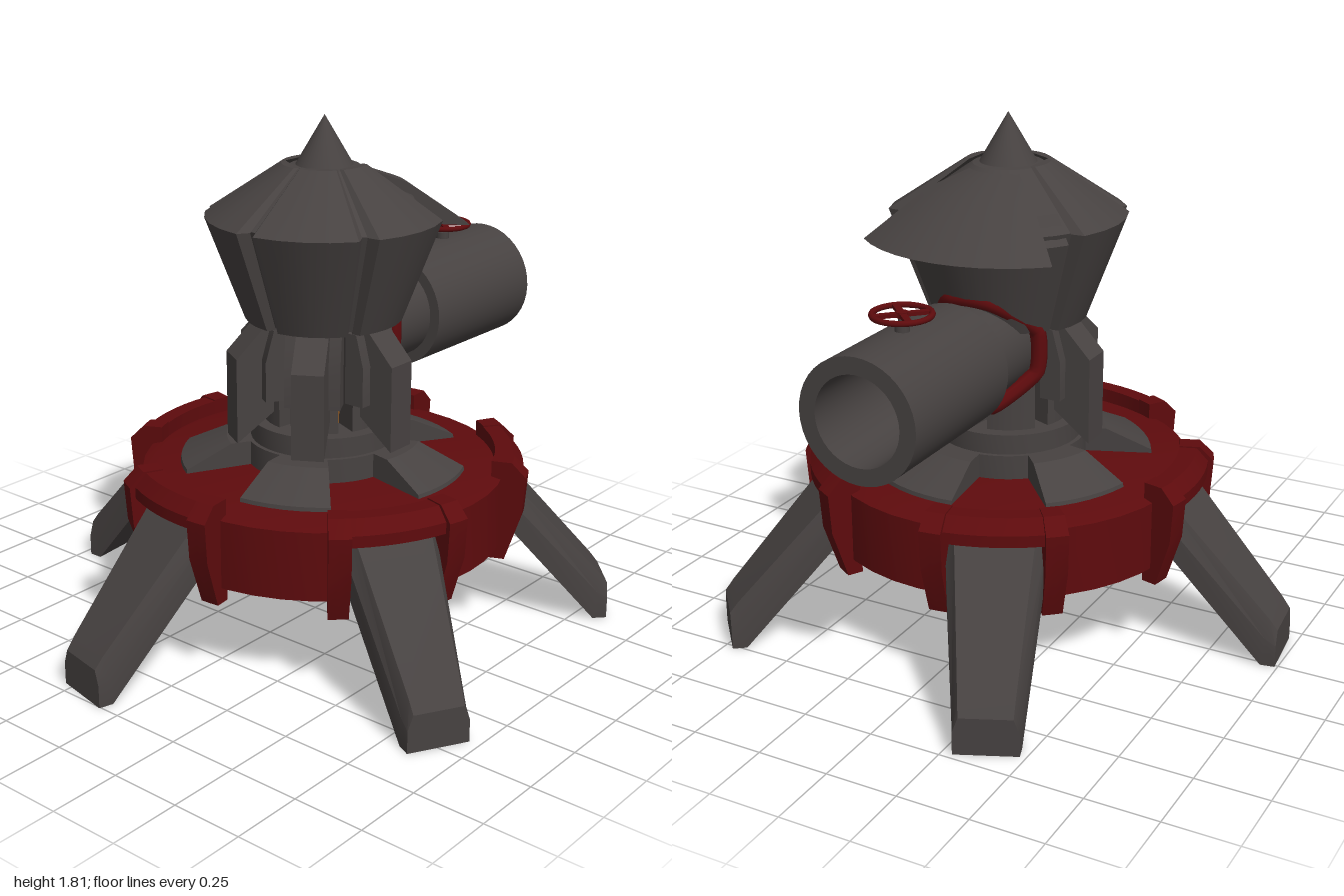
import * as THREE from 'three';
import { toCreasedNormals, mergeGeometries } from 'three/addons/utils/BufferGeometryUtils.js';

const mat = (name, color) => {
  const m = new THREE.MeshStandardMaterial({ color });
  m.name = name;
  return m;
};
const rad = THREE.MathUtils.degToRad;

// Polar point: angle in degrees from +z towards +x
const polar = (r, y, deg) => [r * Math.sin(rad(deg)), y, r * Math.cos(rad(deg))];

// Solid through a list of matching closed cross-sections, capped at both ends
function loft(rings, crease = 25) {
  const tris = [];
  const n = rings[0].length;
  for (let i = 0; i < rings.length - 1; i++) {
    for (let j = 0; j < n; j++) {
      const k = (j + 1) % n;
      const a = rings[i][j], b = rings[i][k], c = rings[i + 1][k], d = rings[i + 1][j];
      tris.push([a, b, c], [a, c, d]);
    }
  }
  const cap = (ring, flip) => {
    const flat = new THREE.Vector3();
    const v = ring.map((p) => new THREE.Vector3(...p));
    v.forEach((p, i) => flat.add(p.clone().cross(v[(i + 1) % n])));
    const normal = flat.normalize();
    const ux = new THREE.Vector3().subVectors(v[1], v[0]).normalize();
    const uy = new THREE.Vector3().crossVectors(normal, ux);
    const flat2 = v.map((p) => new THREE.Vector2(p.dot(ux), p.dot(uy)));
    THREE.ShapeUtils.triangulateShape(flat2, []).forEach(([a, b, c]) =>
      tris.push(flip ? [ring[c], ring[b], ring[a]] : [ring[a], ring[b], ring[c]]));
  };
  cap(rings[0], true);
  cap(rings[rings.length - 1], false);
  // Turn the faces outward
  const A = new THREE.Vector3(), B = new THREE.Vector3(), C = new THREE.Vector3();
  let volume = 0;
  for (const [a, b, c] of tris) volume += A.set(...a).dot(B.set(...b).cross(C.set(...c)));
  if (volume < 0) tris.forEach((t) => t.reverse());
  const g = new THREE.BufferGeometry();
  g.setAttribute('position', new THREE.Float32BufferAttribute(tris.flat(2), 3));
  return toCreasedNormals(g, rad(crease));
}

// Part of a ring: closed [radius, y] profile swept between two angles
function sector(profile, from, to, steps = 6) {
  const rings = [];
  for (let i = 0; i <= steps; i++) {
    rings.push(profile.map(([r, y]) => polar(r, y, from + ((to - from) * i) / steps)));
  }
  return loft(rings);
}

const lathe = (points, segments = 40) =>
  toCreasedNormals(new THREE.LatheGeometry(points.map((p) => new THREE.Vector2(...p)), segments), rad(25));

export function createModel() {
  const grey = mat('dark grey metal', 0x474241);
  const red = mat('dark red metal', 0x5e0b0d);
  const orange = mat('orange glow', 0xb8640f);

  const model = new THREE.Group();
  const body = new THREE.Group();
  body.name = 'body';
  body.position.set(0.03, 0, -0.01);
  model.add(body);
  const add = (name, geometry, material, parent = body) => {
    const mesh = new THREE.Mesh(geometry, material);
    mesh.name = name;
    parent.add(mesh);
    return mesh;
  };

  // Base disc with a small plate underneath
  add('baseDisc', lathe([[0, 0.345], [0.635, 0.345], [0.635, 0.585], [0.58, 0.6], [0, 0.61]]), red);
  add('undersidePlate', new THREE.BoxGeometry(0.2, 0.01, 0.2), grey).position.y = 0.342;

  // Five legs, each held by a red clamp
  const legRing = (rTop, top, rBot, bottom, w) => {
    const mid = (a, b) => a + (b - a) * 0.6;
    const rm = mid(rBot, rTop), ym = mid(bottom, top);
    return [[-w, bottom, rBot], [w, bottom, rBot], [w, ym, rm],
      [w * 0.82, top, rTop], [-w * 0.82, top, rTop], [-w, ym, rm]];
  };
  const legGeo = loft([
    legRing(0.6, 0.6, 0.6, 0.43, 0.165),
    legRing(0.985, 0.17, 0.965, 0, 0.11),
    legRing(1.015, 0.13, 1.015, 0, 0.106),
  ]);
  const postProfile = [[0.6, 0.29], [0.655, 0.29], [0.71, 0.46], [0.72, 0.6], [0.67, 0.65], [0.6, 0.65]];
  const barProfile = [[0.6, 0.55], [0.7, 0.56], [0.7, 0.6], [0.66, 0.645], [0.6, 0.645]];
  const clampGeo = mergeGeometries([
    sector(postProfile, -19.5, -13.5, 2),
    sector(postProfile, 13.5, 19.5, 2),
    sector(barProfile, -13.5, 13.5),
  ]);
  const plateGeo = sector([[0.2, 0.59], [0.505, 0.59], [0.5, 0.615], [0.34, 0.69], [0.2, 0.69]], -18, 18);
  for (let i = 0; i < 5; i++) {
    const turn = rad(-12 + 72 * i);
    add('leg', legGeo, grey).rotation.y = turn;
    add('legClamp', clampGeo, red).rotation.y = turn;
    add('deckPlate', plateGeo, grey).rotation.y = turn + rad(36);
  }

  // Column: glowing core seen through six slits
  add('columnCollar', lathe([[0, 0.6], [0.27, 0.6], [0.27, 0.69], [0.255, 0.69], [0.255, 0.76], [0, 0.76]]), grey);
  add('glowCore', new THREE.CylinderGeometry(0.115, 0.115, 0.4, 24, 1, true), orange).position.y = 0.95;
  const wallGeo = sector([[0.09, 0.74], [0.21, 0.74], [0.21, 1.14], [0.09, 1.14]], -23, 23);
  const finRing = (x) => [[x, 0.82, 0.19], [x, 0.71, 0.335], [x, 1.01, 0.335], [x, 1.11, 0.24], [x, 1.11, 0.19]];
  const finGeo = loft([finRing(-0.055), finRing(0.055)]);
  const cheekRing = (x) => [[x, 0.86, 0.17], [x, 0.86, 0.245], [x, 1.0, 0.245], [x, 1.11, 0.215], [x, 1.11, 0.17]];
  const cheekGeo = loft([cheekRing(-0.095), cheekRing(0.095)]);
  for (let i = 0; i < 6; i++) {
    const turn = rad(30 + 60 * i);
    add('columnWall', wallGeo, grey).rotation.y = turn;
    if (i === 2 || i === 3) continue;
    add('columnFin', finGeo, grey).rotation.y = turn;
    add('finRoot', cheekGeo, grey).rotation.y = turn;
  }

  // Head: inner core, four petals at front and sides, plain back, spike
  add('headCore', lathe([[0, 1.125], [0.235, 1.125], [0.355, 1.475], [0.12, 1.64], [0, 1.66]]), grey);
  const petalRing = (r, y) => [[-28.5, 0.9], [-25, 1], [-12, 1], [0, 1], [12, 1], [25, 1], [28.5, 0.9]]
    .map(([deg, k]) => polar(r * k, y, deg));
  const petalGeo = loft([petalRing(0.272, 1.12), petalRing(0.405, 1.475), petalRing(0.145, 1.65)]);
  for (const deg of [-90, -30, 30, 90]) add('headPetal', petalGeo, grey).rotation.y = rad(deg);
  add('headBack', sector([[0.1, 1.12], [0.255, 1.12], [0.365, 1.44], [0.3, 1.53], [0.1, 1.62]], 120, 240, 12), grey);
  add('hood', sector([[0.08, 1.54], [0.34, 1.43], [0.5, 1.42], [0.28, 1.575], [0.08, 1.65]], 136, 224, 10), grey);
  add('spike', new THREE.ConeGeometry(0.105, 0.18, 32), grey).position.y = 1.72;

  // Hollow pipe pointing backwards
  const barrel = new THREE.Group();
  barrel.name = 'pipe';
  barrel.position.y = 1.05;
  barrel.rotation.x = -Math.PI / 2;
  body.add(barrel);
  add('pipeNeck', lathe([[0, 0.1], [0.168, 0.1], [0.168, 0.4], [0, 0.4]]), grey, barrel);
  add('pipeBarrel', lathe([[0, 0.39], [0.207, 0.39], [0.207, 0.96], [0.15, 0.96], [0.15, 0.45], [0, 0.45]]), grey, barrel);

  // Red saddle collar where the pipe meets the column
  const saddle = [];
  for (let i = 0; i < 8; i++) {
    const a = rad(22.5 + 45 * i);
    const x = 0.2 * Math.sin(a), y = 0.195 * Math.cos(a);
    saddle.push(new THREE.Vector3(x, 1.05 + y, Math.abs(x) > 0.1 ? -0.15 : -0.265));
  }
  const saddleCurve = new THREE.CatmullRomCurve3(saddle, true, 'catmullrom', 0.25);
  add('pipeCollar', new THREE.TubeGeometry(saddleCurve, 64, 0.028, 8, true), red);

  // Valve wheel on top of the pipe
  const valve = new THREE.Group();
  valve.name = 'valve';
  valve.position.set(0, 1.31, -0.69);
  body.add(valve);
  add('valveRim', new THREE.TorusGeometry(0.094, 0.01, 8, 32), red, valve).rotation.x = Math.PI / 2;
  for (const deg of [45, -45]) {
    add('valveSpoke', new THREE.BoxGeometry(0.18, 0.012, 0.022), red, valve).rotation.y = rad(deg);
  }
  add('valveHub', new THREE.CylinderGeometry(0.02, 0.02, 0.018, 12), red, valve);
  add('valveStem', new THREE.CylinderGeometry(0.012, 0.012, 0.06, 12), grey, valve).position.y = -0.03;
  add('valveBoss', new THREE.CylinderGeometry(0.024, 0.024, 0.03, 12), grey, valve).position.y = -0.045;

  return model;
}
